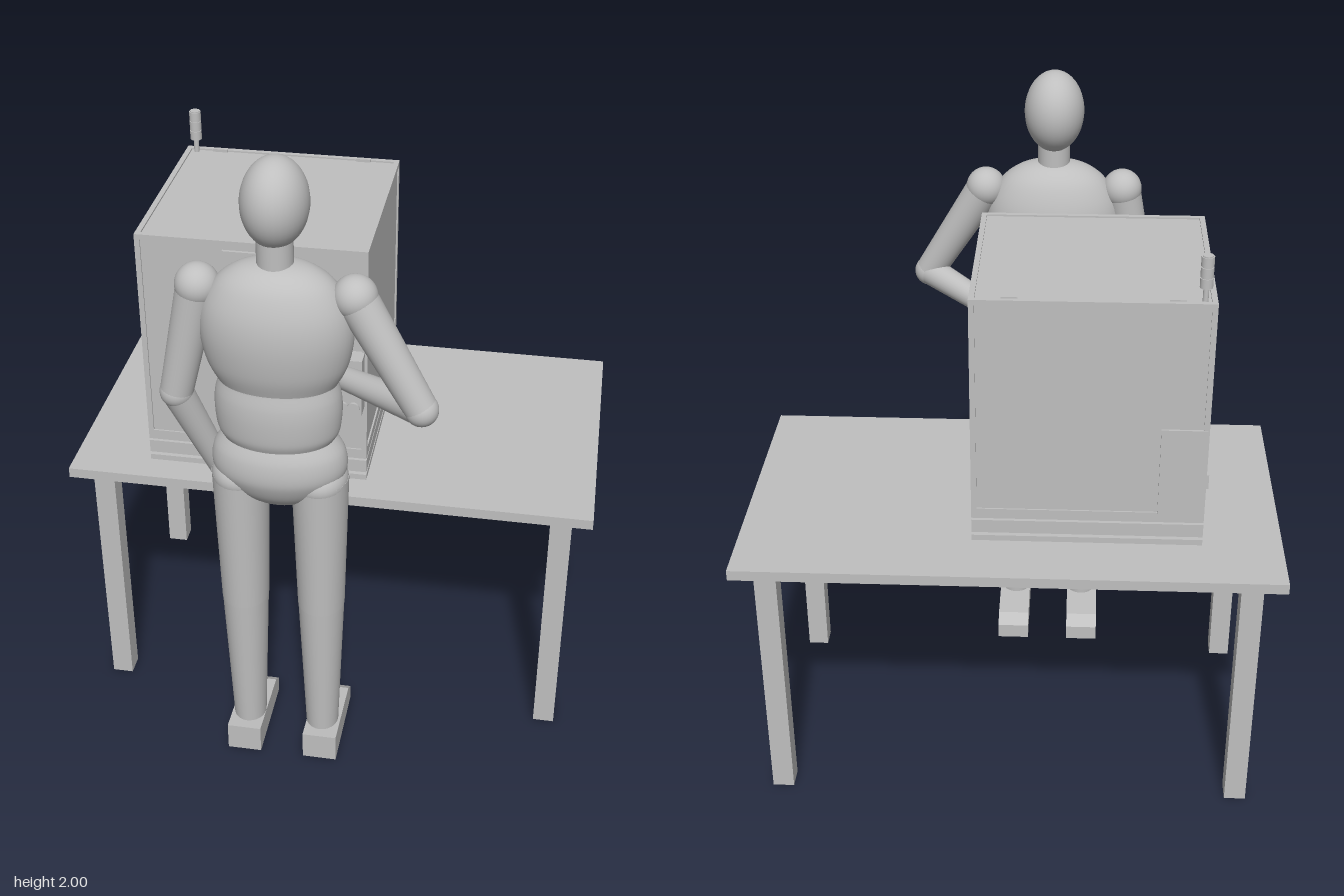
import * as THREE from 'three';

export function createModel() {
  const root = new THREE.Group();
  const grey = new THREE.MeshStandardMaterial({ color: 0xbfbfbf, side: THREE.DoubleSide });
  grey.name = 'plain grey';

  const add = (name, geo, parent = root) => {
    const m = new THREE.Mesh(geo, grey);
    m.name = name;
    parent.add(m);
    return m;
  };
  const group = (name) => {
    const g = new THREE.Group();
    g.name = name;
    root.add(g);
    return g;
  };
  // Box given by its extents on each axis
  const box = (name, [x0, x1], [y0, y1], [z0, z1], parent) => {
    const m = add(name, new THREE.BoxGeometry(x1 - x0, y1 - y0, z1 - z0), parent);
    m.position.set((x0 + x1) / 2, (y0 + y1) / 2, (z0 + z1) / 2);
    return m;
  };
  const ball = (name, p, rx, ry, rz, parent) => {
    const m = add(name, new THREE.SphereGeometry(1, 32, 24), parent);
    m.position.set(...p);
    m.scale.set(rx, ry, rz);
    return m;
  };
  // Tapered limb between two points
  const limb = (name, a, b, ra, rb, parent) => {
    const A = new THREE.Vector3(...a), B = new THREE.Vector3(...b);
    const d = B.clone().sub(A);
    const m = add(name, new THREE.CylinderGeometry(rb, ra, d.length(), 32), parent);
    m.position.copy(A).addScaledVector(d, 0.5);
    m.quaternion.setFromUnitVectors(new THREE.Vector3(0, 1, 0), d.normalize());
    return m;
  };

  // Table
  const table = group('table');
  box('tableTop', [-0.8, 0.795], [0.825, 0.857], [-0.6, 0.31], table);
  for (const x of [-0.74, 0.67])
    for (const z of [-0.535, 0.195])
      box('tableLeg', [x, x + 0.065], [0, 0.825], [z, z + 0.065], table);

  // Machine cabinet: inset panels inside a frame of edge bars
  const cab = group('cabinet');
  const X = [-0.565, 0.108], Y = [0.95, 1.63], Z = [-0.41, 0.217], t = 0.016, i = 0.005;
  box('cabinetBody', [X[0] + i, X[1] - i], [Y[0], Y[1] - i], [Z[0] + i, Z[1] - i], cab);
  const ends = ([a, b]) => [[a, a + t], [b - t, b]];
  for (const x of ends(X)) for (const z of ends(Z)) box('uprightFrame', x, Y, z, cab);
  for (const y of ends(Y)) {
    for (const z of ends(Z)) box('crossFrame', X, y, z, cab);
    for (const x of ends(X)) box('sideFrame', x, y, Z, cab);
  }

  // Stepped base with shadow gaps
  box('baseCore', [-0.55, 0.093], [0.857, 0.95], [-0.395, 0.2], cab);
  for (const [a, b] of [[0.857, 0.875], [0.885, 0.927], [0.934, 0.951]])
    box('baseRail', X, [a, b], Z, cab);

  // Door, handle, latch and control box on the front
  box('door', [-0.31, -0.11], [0.98, 1.6], [0.21, 0.221], cab);
  box('doorHandle', [-0.318, -0.308], [1.25, 1.29], [0.21, 0.228], cab);
  box('doorLatch', [-0.18, -0.12], [0.96, 1.02], [0.21, 0.229], cab);
  box('controlBox', [0.02, 0.1], [1.12, 1.305], [0.21, 0.268], cab);
  for (const x of [0.045, 0.078]) {
    limb('knobStem', [x, 1.155, 0.266], [x, 1.155, 0.28], 0.009, 0.009, cab);
    limb('knob', [x, 1.155, 0.28], [x, 1.155, 0.288], 0.018, 0.018, cab);
  }

  // Access plates at the rear corner, hinges on the roof edge
  box('rearPlate', [-0.56, -0.43], [0.955, 1.24], [-0.412, -0.402], cab);
  box('sidePlate', [-0.567, -0.557], [0.955, 1.22], [-0.39, -0.25], cab);
  box('sideSwitch', [-0.574, -0.56], [1.035, 1.08], [-0.385, -0.355], cab);
  for (const x of [-0.48, -0.025]) box('hinge', [x, x + 0.045], [1.62, 1.634], [-0.396, -0.388], cab);

  // Signal tower
  const tower = group('signalTower');
  limb('towerPole', [-0.531, 1.62, -0.383], [-0.531, 1.675, -0.383], 0.008, 0.008, tower);
  for (let k = 0; k < 3; k++) {
    const y = 1.668 + k * 0.031;
    limb('towerLamp', [-0.531, y, -0.383], [-0.531, y + 0.028, -0.383], 0.018, 0.018, tower);
    limb('towerNeck', [-0.531, y, -0.383], [-0.531, y + 0.031, -0.383], 0.015, 0.015, tower);
  }

  // Standing figure, facing the cabinet
  const body = group('figure');
  const cx = -0.104, cz = 0.456;
  // Oval torso section turned from a smoothed half profile
  const torso = (name, pts, depth) => {
    const curve = new THREE.SplineCurve(pts.map(([r, y]) => new THREE.Vector2(r, y)));
    const m = add(name, new THREE.LatheGeometry(curve.getPoints(32), 48), body);
    m.position.set(cx, 0, cz + 0.004);
    m.scale.z = depth;
  };
  torso('pelvis', [[0, 0.935], [0.07, 0.947], [0.14, 0.99], [0.182, 1.04], [0.195, 1.08],
    [0.187, 1.13], [0.16, 1.173]], 0.64);
  torso('waist', [[0.16, 1.17], [0.174, 1.2], [0.18, 1.26], [0.177, 1.31], [0.166, 1.352]], 0.7);
  torso('chest', [[0.168, 1.35], [0.197, 1.41], [0.213, 1.5], [0.203, 1.58], [0.165, 1.65],
    [0.115, 1.69], [0.06, 1.708], [0, 1.712]], 0.64);
  limb('neck', [cx, 1.69, cz + 0.003], [cx, 1.79, cz + 0.003], 0.05, 0.05, body);
  ball('head', [cx, 1.876, 0.445], 0.092, 0.125, 0.11, body);

  // Legs and wedge-toed shoes
  const sole = new THREE.Shape([[0.545, 0], [0.26, 0], [0.26, 0.05], [0.3, 0.078], [0.335, 0.08],
    [0.545, 0.092]].map(([z, y]) => new THREE.Vector2(z, y)));
  for (const s of [-1, 1]) {
    const x = cx + s * 0.116;
    const shin = limb('shin', [x, 0.095, 0], [x, 0.575, 0], 0.05, 0.069, body);
    const thigh = limb('thigh', [x, 0.575, 0], [x, 1.035, 0], 0.07, 0.083, body);
    for (const m of [shin, thigh]) {
      m.position.z = 0.461;
      m.scale.z = 1.12;
    }
    ball('hip', [x, 1.03, 0.463], 0.082, 0.07, 0.092, body);
    const geo = new THREE.ExtrudeGeometry(sole, { depth: 0.105, bevelEnabled: false });
    geo.translate(0, 0, -0.0525).rotateY(-Math.PI / 2);
    add('shoe', geo, body).position.x = cx + s * 0.12;
  }

  // Arms: shoulder, elbow and hand positions
  const arms = [
    [[0.11, 1.622, 0.457], [0.3, 1.312, 0.497], [0.04, 1.255, 0.275]],
    [[-0.32, 1.622, 0.457], [-0.393, 1.282, 0.468], [-0.285, 0.945, 0.375]],
  ];
  for (const [shoulder, elbow, hand] of arms) {
    ball('shoulder', shoulder, 0.062, 0.062, 0.062, body);
    limb('upperArm', shoulder, elbow, 0.058, 0.047, body);
    ball('elbow', elbow, 0.048, 0.048, 0.048, body);
    limb('forearm', elbow, hand, 0.046, 0.034, body);
    ball('hand', hand, 0.037, 0.037, 0.037, body);
  }

  return root;
}
